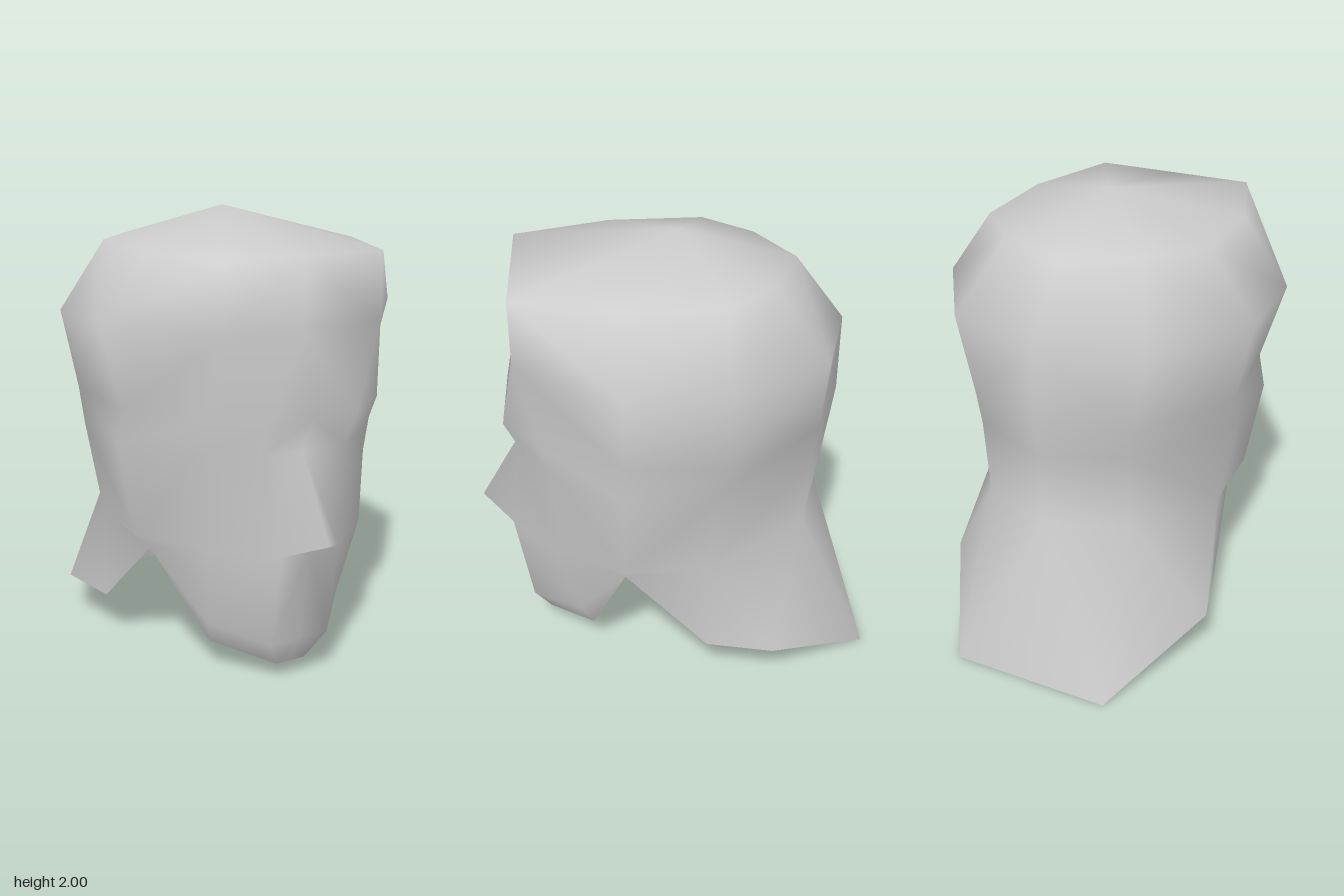
import * as THREE from 'three';
import { mergeVertices } from 'three/addons/utils/BufferGeometryUtils.js';

// Cross-sections of the +x half, top to bottom; each runs from front centre to back centre.
const crownTop = Array(7).fill([0, 2, -0.03]);
const crown = [[0, 1.86, 0.68], [0.36, 1.86, 0.68], [0.36, 1.86, 0.68], [0.5, 1.86, 0.25], [0.5, 1.86, -0.18], [0.3, 1.86, -0.39], [0, 1.86, -0.53]];
const forehead = [[0, 1.57, 0.68], [0.36, 1.57, 0.68], [0.36, 1.57, 0.68], [0.71, 1.57, 0.25], [0.71, 1.57, -0.18], [0.43, 1.57, -0.61], [0, 1.57, -0.75]];
const brow = [[0, 1.22, 0.75], [0.21, 1.22, 0.75], [0.43, 1.22, 0.58], [0.61, 1.22, 0.25], [0.64, 1.22, -0.18], [0.36, 1.22, -0.6], [0, 1.22, -0.75]];
const eyes = [[0, 1.07, 0.68], [0.2, 1.07, 0.68], [0.4, 1.07, 0.54], [0.64, 1.07, 0.25], [0.64, 1.07, -0.12], [0.35, 1.07, -0.58], [0, 1.07, -0.73]];
const noseTip = [[0, 0.72, 0.89], [0.14, 0.65, 0.75], [0.38, 0.65, 0.55], [0.57, 0.65, 0.25], [0.57, 0.65, -0.11], [0.34, 0.72, -0.56], [0, 0.72, -0.68]];
const noseBase = [[0, 0.65, 0.75], ...noseTip.slice(1)];
const neckHem = [[0.5, 0.58, 0.25], [0.57, 0.22, -0.11], [0.64, 0.22, -0.4], [0.36, 0, -0.89]];
const mouth = [[0, 0.22, 0.68], [0.14, 0.22, 0.68], [0.33, 0.27, 0.46], ...neckHem];
const chin = [[0, 0.08, 0.61], [0.07, 0.08, 0.61], [0.29, 0.15, 0.4], ...neckHem];

const rows = [crownTop, crown, forehead, brow, eyes, noseTip, noseBase, mouth, chin];
const neckRow = rows.indexOf(noseBase);

function buildSkin() {
  const positions = [];
  const same = (p, q) => p.every((v, i) => Math.abs(v - q[i]) < 1e-6);
  // Adds a triangle and its mirror image, skipping collapsed ones.
  const tri = (a, b, c) => {
    if (same(a, b) || same(b, c) || same(a, c)) return;
    positions.push(...a, ...b, ...c);
    for (const p of [a, c, b]) positions.push(p[0] === 0 ? 0 : -p[0], p[1], p[2]);
  };
  for (let r = 0; r < rows.length - 1; r++) {
    for (let j = 0; j < 6; j++) {
      const a = rows[r][j], b = rows[r + 1][j], c = rows[r + 1][j + 1], d = rows[r][j + 1];
      // The face and the flared neck fold one way, the back of the skull the other.
      if (j < 3 || (r === neckRow && j > 3)) {
        tri(a, b, c);
        tri(a, c, d);
      } else {
        tri(a, b, d);
        tri(b, c, d);
      }
    }
  }
  // Nape panel between the centre line and the flared corner
  tri(noseBase[6], neckHem[3], [0, 0, -0.89]);
  const geometry = new THREE.BufferGeometry();
  geometry.setAttribute('position', new THREE.Float32BufferAttribute(positions, 3));
  const welded = mergeVertices(geometry, 1e-4);
  welded.computeVertexNormals();
  return welded;
}

export function createModel() {
  const group = new THREE.Group();
  group.name = 'headModel';
  const grey = new THREE.MeshStandardMaterial({ color: 0xcccccc, side: THREE.DoubleSide });
  grey.name = 'light grey';
  // Open shell: skull, face with nose and chin, and flared neck
  const head = new THREE.Mesh(buildSkin(), grey);
  head.name = 'head';
  group.add(head);
  return group;
}
